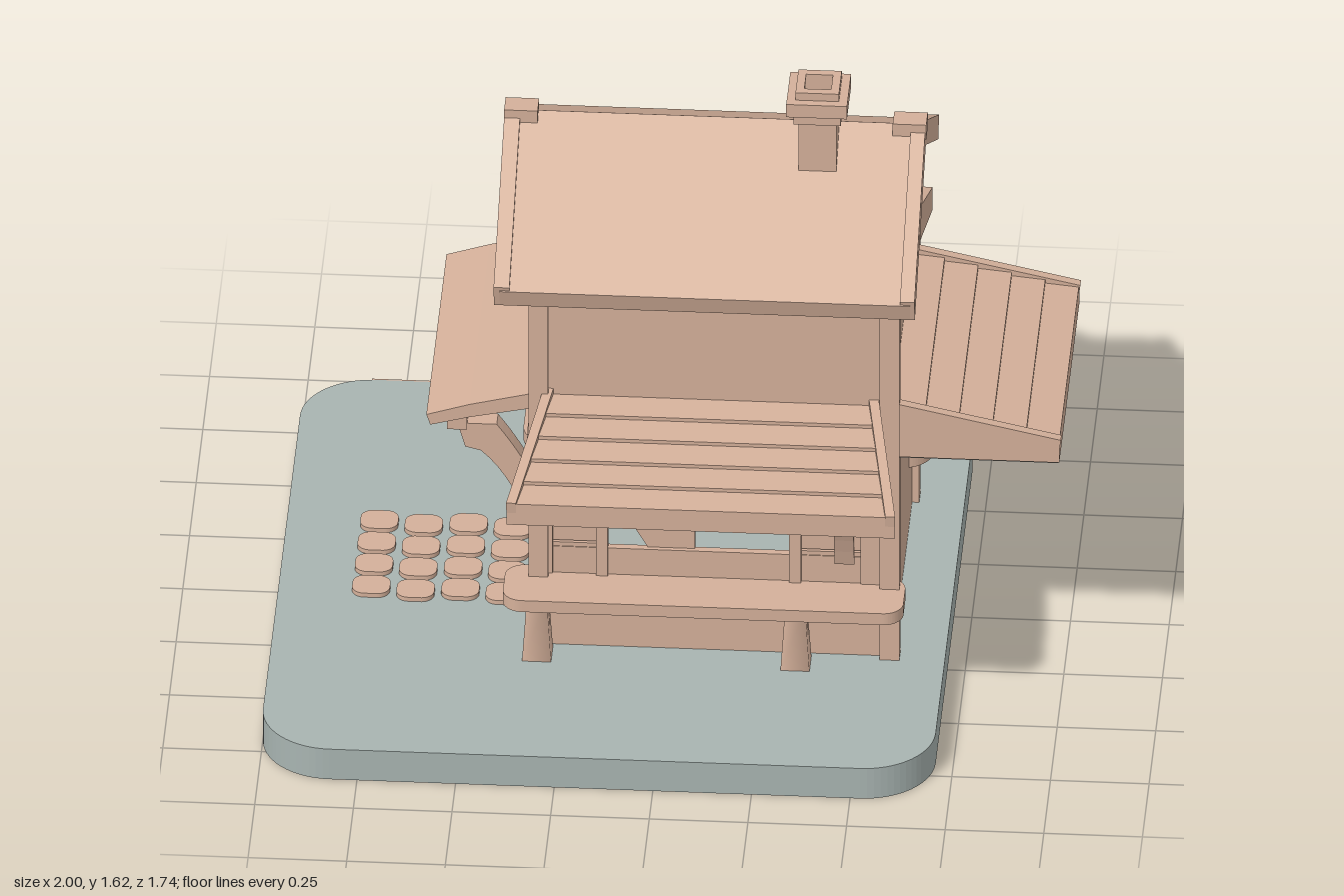
import * as THREE from 'three';

const wood = new THREE.MeshStandardMaterial({ color: 0xd4b09a, side: THREE.DoubleSide });
wood.name = 'warm wood';
const ground = new THREE.MeshStandardMaterial({ color: 0xa8b4b1, side: THREE.DoubleSide });
ground.name = 'grey green ground';

export function createModel() {
  const root = new THREE.Group();
  root.name = 'shopHouse';

  const add = (name, geo, mat = wood) => {
    const m = new THREE.Mesh(geo, mat);
    m.name = name;
    root.add(m);
    return m;
  };
  // box given by its limits
  const box = (name, x0, x1, y0, y1, z0, z1, mat) =>
    add(name, new THREE.BoxGeometry(x1 - x0, y1 - y0, z1 - z0)
      .translate((x0 + x1) / 2, (y0 + y1) / 2, (z0 + z1) / 2), mat);
  const poly = (pts) => new THREE.Shape(pts.map(([a, b]) => new THREE.Vector2(a, b)));
  const extrude = (shape, depth) =>
    new THREE.ExtrudeGeometry(shape, { depth, bevelEnabled: false, curveSegments: 8 });
  // profile in (z, y), swept from x0 to x1
  const alongX = (name, pts, x0, x1) =>
    add(name, extrude(poly(pts), x1 - x0).rotateY(-Math.PI / 2).translate(x1, 0, 0));
  // flat plate with rounded corners, seen from above
  const plate = (name, x0, x1, z0, z1, y0, y1, r, mat) => {
    const s = new THREE.Shape();
    s.moveTo(x0 + r, z0);
    s.lineTo(x1 - r, z0); s.absarc(x1 - r, z0 + r, r, -Math.PI / 2, 0);
    s.lineTo(x1, z1 - r); s.absarc(x1 - r, z1 - r, r, 0, Math.PI / 2);
    s.lineTo(x0 + r, z1); s.absarc(x0 + r, z1 - r, r, Math.PI / 2, Math.PI);
    s.lineTo(x0, z0 + r); s.absarc(x0 + r, z0 + r, r, Math.PI, Math.PI * 1.5);
    return add(name, extrude(s, y1 - y0).rotateX(Math.PI / 2).translate(0, y1, 0), mat);
  };

  // base with a wooden strip along its back edge
  plate('base', -1, 0.705, -0.872, 0.868, 0, 0.09, 0.18, ground);
  box('baseBackStrip', -0.83, 0.53, 0, 0.09, -0.877, -0.871);

  // gable walls and corner posts
  const gable = [[-0.42, 0.09], [0.335, 0.09], [0.335, 1.19], [-0.02, 1.42], [-0.42, 1.18]];
  alongX('rightWall', gable, 0.54, 0.572);
  alongX('leftWall', gable, -0.33, -0.298);
  for (const [x0, x1] of [[-0.35, -0.3], [0.54, 0.59]])
    for (const [z0, z1] of [[0.31, 0.355], [-0.437, -0.39]])
      box('cornerPost', x0, x1, 0.09, 1.17, z0, z1);
  box('upperFloor', -0.32, 0.56, 0.7, 0.73, -0.41, 0.33);

  // front and back walls with a wide shop window
  for (const [side, z] of [['front', 0.31], ['back', -0.42]]) {
    const s = poly([[-0.32, 0.09], [0.56, 0.09], [0.56, 1.18], [-0.32, 1.18]]);
    s.holes.push(poly([[-0.29, 0.3], [-0.29, 0.69], [0.49, 0.69], [0.49, 0.3]]));
    add(side + 'Wall', extrude(s, 0.025).translate(0, 0, z));
    box(side + 'Sill', -0.29, 0.49, 0.3, 0.38, z, z + 0.02);
    for (const x of [-0.18, 0.31]) box(side + 'Mullion', x, x + 0.03, 0.3, 0.69, z, z + 0.03);
    // slatted panels either side of the opening
    for (const [x0, x1] of [[-0.29, -0.18], [0.34, 0.49]])
      for (let i = 0; i < 8; i++)
        box(side + 'Slat', x0, x1, 0.302 + i * 0.048, 0.344 + i * 0.048, z + 0.004, z + 0.018);
  }
  // drapes hanging inside the front window
  for (const pts of [
    [[-0.15, 0.68], [-0.04, 0.66], [-0.04, 0.57], [0.07, 0.5], [0.07, 0.38], [-0.05, 0.38], [-0.15, 0.55]],
    [[0.05, 0.68], [0.31, 0.68], [0.23, 0.46], [0.15, 0.5], [0.05, 0.52]],
  ]) add('drape', extrude(poly(pts), 0.008).translate(0, 0, 0.31));

  // main roof, with thicker boards at the gable ends
  const roof = (name, x0, x1, up) => alongX(name, [
    [0.405, 1.185 + up], [-0.02, 1.462 + up], [-0.508, 1.168 + up],
    [-0.495, 1.115], [-0.02, 1.4], [0.39, 1.135]], x0, x1);
  roof('roof', -0.42, 0.62, 0);
  roof('leftBargeBoard', -0.435, -0.395, 0.012);
  roof('rightBargeBoard', 0.595, 0.632, 0.012);
  for (const x of [-0.435, 0.55]) box('ridgeCap', x, x + 0.085, 1.435, 1.478, -0.05, 0.01);

  // hollow square chimney in tiers: half width, bottom, top
  for (const [h, y0, y1] of [[0.048, 1.37, 1.54], [0.06, 1.53, 1.565], [0.077, 1.562, 1.6], [0.055, 1.6, 1.622]]) {
    const s = poly([[-h, -h], [h, -h], [h, h], [-h, h]]);
    if (y0 > 1.5) s.holes.push(poly([[-0.034, -0.034], [-0.034, 0.034], [0.034, 0.034], [0.034, -0.034]]));
    add('chimney', extrude(s, y1 - y0).rotateX(-Math.PI / 2).translate(0.365, y0, 0.05));
  }

  // awnings: lapped boards on a flat-bottomed wedge, ends drawn in towards the wall
  const awning = (name, x, z, turn, depth, length, inner) => {
    const n = 5, pts = [[0, 0.695], [depth, 0.695]];
    for (let i = 0; i < n; i++) {
      const top = (t) => 0.845 - 0.092 * t;
      pts.push([depth * (1 - i / n), top(1 - i / n) + 0.004]);
      pts.push([depth * (1 - (i + 1) / n), top(1 - (i + 1) / n) - 0.006]);
    }
    const g = extrude(poly(pts), length).translate(0, 0, -length / 2);
    const p = g.attributes.position;
    const width = (u) => THREE.MathUtils.lerp(inner, length, u / depth) / length;
    for (let i = 0; i < p.count; i++) p.setZ(i, p.getZ(i) * width(p.getX(i)));
    g.computeVertexNormals();
    const a = add(name, g);
    a.position.set(x, 0, z);
    a.rotation.y = turn;
    // sloping edge boards
    for (const s of [-1, 1]) {
      const rim = extrude(poly([[0, 0.82], [depth, 0.73], [depth + 0.004, 0.762], [0, 0.856]]), 0.025)
        .translate(0, 0, s < 0 ? -length / 2 : length / 2 - 0.025);
      const q = rim.attributes.position;
      for (let i = 0; i < q.count; i++)
        q.setZ(i, q.getZ(i) - s * (length / 2) * (1 - width(q.getX(i))));
      rim.computeVertexNormals();
      const m = add(name + 'Edge', rim);
      m.position.copy(a.position);
      m.rotation.y = turn;
    }
  };
  awning('frontAwning', 0.112, 0.335, -Math.PI / 2, 0.395, 0.985, 0.85);
  awning('backAwning', 0.112, -0.415, Math.PI / 2, 0.402, 0.965, 0.85);
  awning('rightAwning', 0.57, -0.032, 0, 0.425, 0.755, 0.755);
  box('rightAwningUnderside', 0.575, 0.992, 0.69, 0.696, -0.405, 0.34, ground);

  // porch roof over the door
  add('porchRoof', extrude(poly([[-0.32, 0.845], [-0.5, 0.8], [-0.61, 0.765], [-0.6, 0.735], [-0.5, 0.762], [-0.32, 0.8]]), 0.755)
    .translate(0, 0, -0.418));
  box('porchBeam', -0.56, -0.51, 0.7, 0.765, -0.38, 0.3);

  // curved brackets
  const bracket = (name, x, z, turn) => {
    const s = new THREE.Shape();
    s.moveTo(0, 0.36);
    s.quadraticCurveTo(0.05, 0.55, 0.14, 0.63);
    s.lineTo(0.18, 0.64);
    s.lineTo(0.2, 0.71);
    s.lineTo(0.1, 0.71);
    s.quadraticCurveTo(0.04, 0.63, 0, 0.54);
    const m = add(name, extrude(s, 0.05).translate(0, 0, -0.025));
    m.position.set(x, 0, z);
    m.rotation.y = turn;
  };
  for (const z of [-0.33, 0.26]) bracket('porchBracket', -0.335, z, Math.PI);
  bracket('frontBracket', 0.45, 0.335, -Math.PI / 2);

  // counters wrapping the corners, with tapered legs
  plate('frontCounter', -0.41, 0.605, 0.3, 0.47, 0.268, 0.302, 0.05);
  plate('backCounter', -0.41, 0.63, -0.565, -0.27, 0.268, 0.302, 0.08);
  for (const x of [-0.325, 0.33])
    for (const z of [0.385, -0.465]) {
      const leg = add('counterLeg', new THREE.CylinderGeometry(0.036, 0.052, 0.18, 4).rotateY(Math.PI / 4));
      leg.position.set(x, 0.18, z);
    }

  // door with frame, panels and knob
  box('door', -0.345, -0.325, 0.09, 0.58, -0.15, 0.14);
  for (const z of [-0.18, 0.14]) box('doorPost', -0.36, -0.32, 0.09, 0.62, z, z + 0.035);
  box('doorLintel', -0.365, -0.32, 0.58, 0.625, -0.2, 0.195);
  for (const y of [0.14, 0.37]) box('doorPanel', -0.352, -0.34, y, y + 0.17, -0.11, 0.1);
  box('knobStem', -0.385, -0.34, 0.37, 0.385, 0.095, 0.11);
  box('knob', -0.395, -0.375, 0.355, 0.4, 0.08, 0.125);

  // round clock on the left gable
  const clock = add('clockFace', new THREE.CylinderGeometry(0.115, 0.115, 0.04, 24).rotateZ(Math.PI / 2));
  clock.position.set(-0.35, 1.105, 0);
  const rim = add('clockRim', new THREE.TorusGeometry(0.11, 0.022, 8, 28).rotateY(Math.PI / 2));
  rim.position.set(-0.375, 1.105, 0);
  box('clockHand', -0.378, -0.37, 1.1, 1.175, -0.007, 0.007);
  box('clockHand', -0.378, -0.37, 1.098, 1.112, -0.007, 0.05);

  // stepping stones to the door
  for (let i = 0; i < 4; i++)
    for (let j = 0; j < 4; j++) {
      const x = -0.765 + i * 0.113, z = -0.2 + j * 0.102 + (i % 2) * 0.012;
      plate('stone', x - 0.048, x + 0.048, z - 0.043, z + 0.043, 0.088, 0.102, 0.032);
    }
  return root;
}
